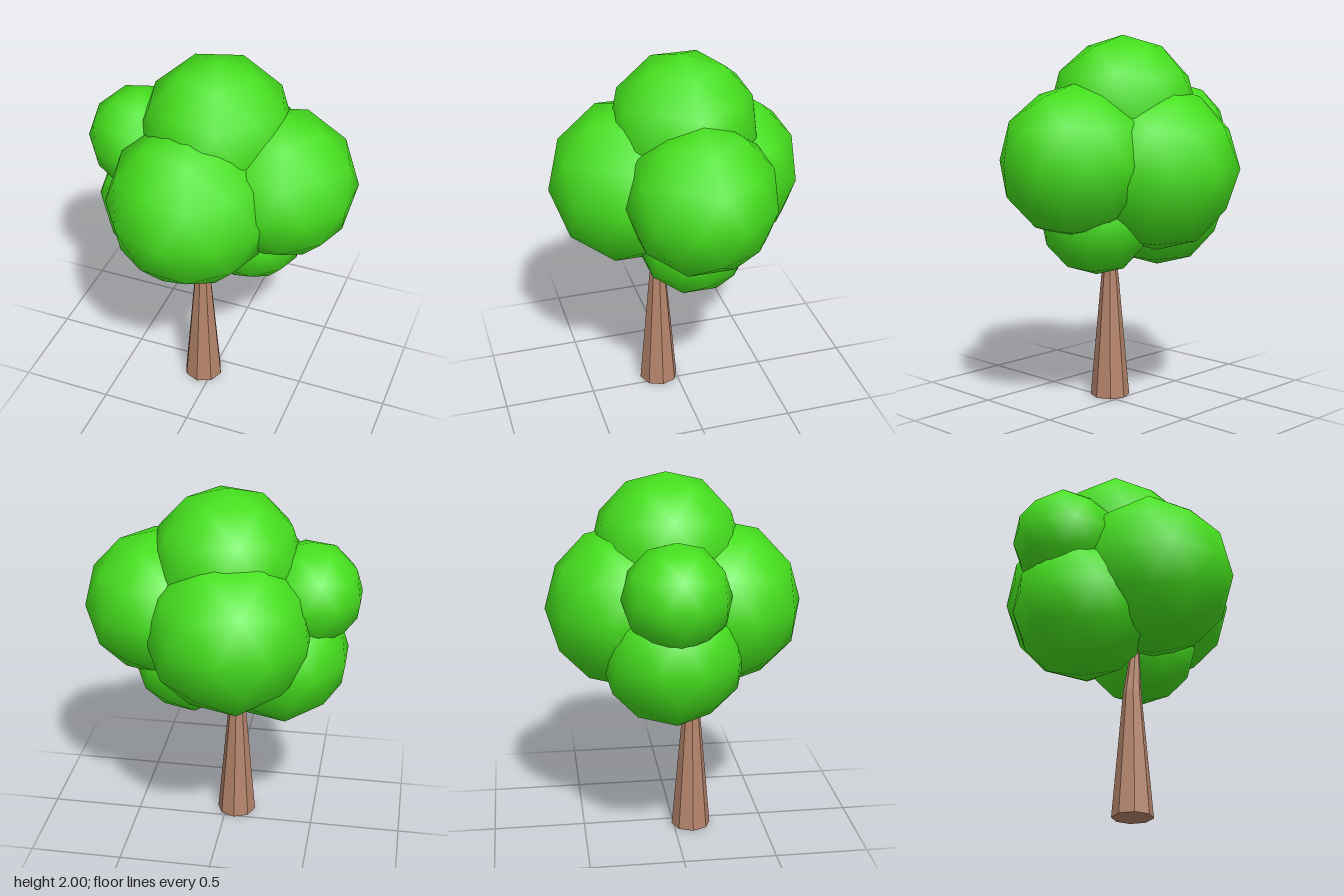
import * as THREE from 'three';

const leafMaterial = new THREE.MeshStandardMaterial({ color: 0x46e01e });
const barkMaterial = new THREE.MeshStandardMaterial({ color: 0xb5846b, flatShading: true });

// Foliage clumps: name, centre x, y, z, radius
const clumps = [
  ['topFoliage', -0.02, 1.6, -0.035, 0.4],
  ['frontFoliage', -0.065, 1.305, 0.24, 0.44],
  ['backFoliage', -0.065, 1.305, -0.24, 0.44],
  ['leftFoliage', 0.335, 1.355, -0.035, 0.4],
  ['upperRightFoliage', -0.455, 1.455, -0.035, 0.28],
  ['lowerRightFoliage', -0.3, 1.11, -0.035, 0.38],
  ['lowerLeftFoliage', 0.18, 1.04, -0.035, 0.3],
];

// Trunk rings, bottom to top: height, centre x, radius
const trunkRings = [
  [0, -0.057, 0.108],
  [0.68, -0.057, 0.048],
  [0.88, -0.038, 0.029],
  [1.05, -0.022, 0.024],
];

// Low-poly ball turned so that one corner points straight up
function makeClumpGeometry() {
  const golden = (1 + Math.sqrt(5)) / 2;
  return new THREE.IcosahedronGeometry(1, 1).rotateZ(-Math.atan(1 / golden));
}

// Eight-sided tapering cylinder whose rings follow the trunk's bend
function makeTrunkGeometry() {
  const last = trunkRings.length - 1;
  const geometry = new THREE.CylinderGeometry(1, 1, last, 8, last);
  const p = geometry.attributes.position;
  for (let i = 0; i < p.count; i++) {
    const [y, x, r] = trunkRings[Math.round(p.getY(i) + last / 2)];
    p.setXYZ(i, x + p.getX(i) * r, y, 0.098 + p.getZ(i) * r);
  }
  geometry.computeVertexNormals();
  return geometry;
}

export function createModel() {
  const tree = new THREE.Group();
  tree.name = 'tree';

  const trunk = new THREE.Mesh(makeTrunkGeometry(), barkMaterial);
  trunk.name = 'trunk';
  tree.add(trunk);

  const crown = new THREE.Group();
  crown.name = 'crown';
  const clumpGeometry = makeClumpGeometry();
  for (const [name, x, y, z, radius] of clumps) {
    const clump = new THREE.Mesh(clumpGeometry, leafMaterial);
    clump.name = name;
    clump.position.set(x, y, z);
    clump.scale.setScalar(radius);
    crown.add(clump);
  }
  tree.add(crown);
  return tree;
}
